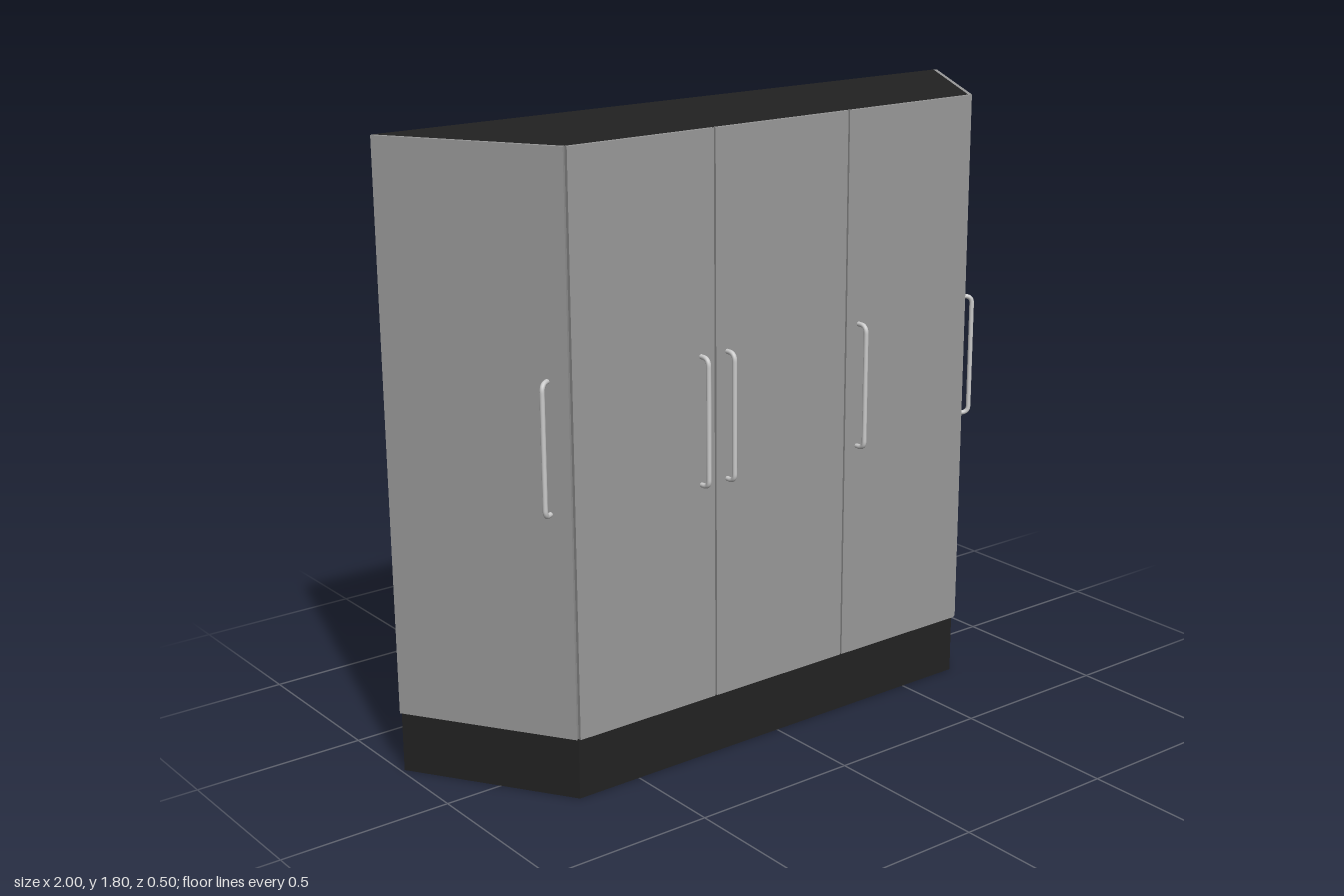
import * as THREE from 'three';

const BACK = -0.25, FRONT = 0.2, HALF_BACK = 0.99, HALF_FRONT = 0.7;
const HEIGHT = 1.8, PLINTH = 0.18, THICK = 0.011;

const dark = new THREE.MeshStandardMaterial({ color: 0x222222 });
const doorGrey = new THREE.MeshStandardMaterial({ color: 0x999999 });
const metal = new THREE.MeshStandardMaterial({ color: 0xcccccc });

// Trapezoid prism between two heights
function prism(name, y0, y1) {
  const shape = new THREE.Shape([
    new THREE.Vector2(-HALF_FRONT, -FRONT),
    new THREE.Vector2(HALF_FRONT, -FRONT),
    new THREE.Vector2(HALF_BACK, -BACK),
    new THREE.Vector2(-HALF_BACK, -BACK),
  ]);
  const geo = new THREE.ExtrudeGeometry(shape, { depth: y1 - y0, bevelEnabled: false });
  geo.rotateX(-Math.PI / 2).translate(0, y0, 0);
  const mesh = new THREE.Mesh(geo, dark);
  mesh.name = name;
  return mesh;
}

// Bow handle: vertical bar with rounded bends back to the door face
function handleGeometry() {
  const y0 = 0.823, y1 = 1.187, out = 0.033, r = 0.022;
  const v = (y, z) => new THREE.Vector3(0, y, z);
  const path = new THREE.CurvePath();
  path.add(new THREE.LineCurve3(v(y0, 0), v(y0, out - r)));
  path.add(new THREE.QuadraticBezierCurve3(v(y0, out - r), v(y0, out), v(y0 + r, out)));
  path.add(new THREE.LineCurve3(v(y0 + r, out), v(y1 - r, out)));
  path.add(new THREE.QuadraticBezierCurve3(v(y1 - r, out), v(y1, out), v(y1, out - r)));
  path.add(new THREE.LineCurve3(v(y1, out - r), v(y1, 0)));
  return new THREE.TubeGeometry(path, 120, 0.007, 12, false);
}
const handleGeo = handleGeometry();

// Door panel with its back on local z = 0, plus a handle
function door(name, width, centreX, handleX) {
  const group = new THREE.Group();
  group.name = name;
  const panel = new THREE.Mesh(new THREE.BoxGeometry(width, HEIGHT - PLINTH, THICK), doorGrey);
  panel.name = 'doorPanel';
  panel.position.set(centreX, (HEIGHT + PLINTH) / 2, THICK / 2);
  const handle = new THREE.Mesh(handleGeo, metal);
  handle.name = 'handle';
  handle.position.set(handleX, 0, THICK);
  group.add(panel, handle);
  return group;
}

export function createModel() {
  const model = new THREE.Group();
  model.name = 'cabinet';
  model.add(prism('plinth', 0, PLINTH), prism('carcass', PLINTH, HEIGHT));

  // Three front doors with narrow gaps
  const pitch = 0.469;
  [-0.283, -0.194, 0.282].forEach((handleX, i) => {
    const d = door('frontDoor', pitch - 0.006, (i - 1) * pitch, handleX);
    d.position.z = FRONT;
    model.add(d);
  });

  // Angled side doors, mirrored
  const dx = HALF_BACK - HALF_FRONT, dz = FRONT - BACK;
  const length = Math.hypot(dx, dz);
  for (const side of [-1, 1]) {
    const d = door(side > 0 ? 'leftDoor' : 'rightDoor', length, side * length / 2, side * 0.06);
    d.position.set(side * HALF_FRONT, 0, FRONT);
    d.rotation.y = side * Math.atan2(dz, dx);
    model.add(d);
  }
  return model;
}
